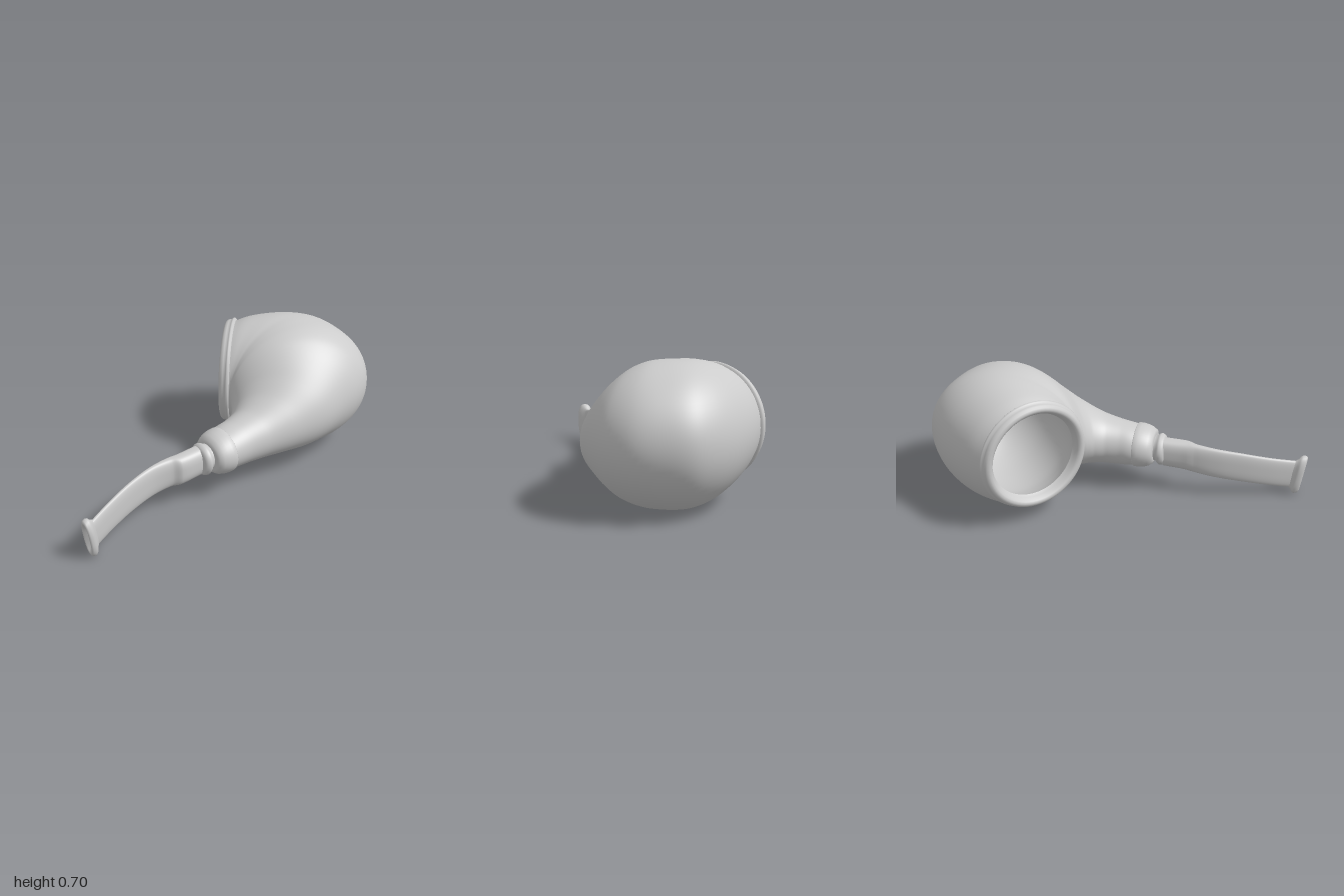
import * as THREE from 'three';

const material = new THREE.MeshStandardMaterial({ color: 0xcccccc, side: THREE.DoubleSide });

// Loft of ovals. Each section is [x, y, z, ry, hx, hz]: centre, half height and
// horizontal half axis; lean shifts the oval in x as it rises.
function loft(name, sections, { steps = 1, lean = 0, power = 1, sides = 48 } = {}) {
  const centres = new THREE.CatmullRomCurve3(sections.map(s => new THREE.Vector3(s[0], s[1], s[2])));
  const halves = new THREE.CatmullRomCurve3(sections.map(s => new THREE.Vector3(s[4], s[3], s[5])));
  const rings = (sections.length - 1) * steps;
  const positions = [], index = [];
  const bend = v => Math.sign(v) * Math.abs(v) ** power;
  for (let i = 0; i <= rings; i++) {
    const c = centres.getPoint(i / rings), h = halves.getPoint(i / rings);
    for (let j = 0; j < sides; j++) {
      const a = (j / sides) * Math.PI * 2;
      const up = bend(Math.cos(a)) * h.y, out = bend(Math.sin(a));
      positions.push(c.x + lean * up + out * h.x, c.y + up, c.z + out * h.z);
      if (i === rings) continue;
      const k = i * sides + j, n = i * sides + (j + 1) % sides;
      index.push(k, n, k + sides, n, n + sides, k + sides);
    }
  }
  const geometry = new THREE.BufferGeometry();
  geometry.setAttribute('position', new THREE.Float32BufferAttribute(positions, 3));
  geometry.setIndex(index);
  geometry.computeVertexNormals();
  const mesh = new THREE.Mesh(geometry, material);
  mesh.name = name;
  return mesh;
}

// Section from [x, y, z, ry, rz], tilted in plan
const tilted = tilt => ([x, y, z, ry, rz]) => [x, y, z, ry, -tilt * rz, rz];

// Section spanning two plan points: [innerX, innerZ, outerX, outerZ, y, ry]
const spanning = ([ax, az, bx, bz, y, ry]) =>
  [(ax + bx) / 2, y, (az + bz) / 2, ry, (bx - ax) / 2, (bz - az) / 2];

// Turned part around the mouth axis; points are [radius, height above the rim plane]
function turned(name, points) {
  const mesh = new THREE.Mesh(
    new THREE.LatheGeometry(points.map(p => new THREE.Vector2(p[0], p[1])), 72), material);
  mesh.name = name;
  return mesh;
}

export function createModel() {
  const model = new THREE.Group();
  model.name = 'tobaccoPipe';

  // Shank and bowl in one skin: sections fan around the crotch from ferrule to mouth
  model.add(loft('shankAndBowl', [
    [-0.085, -0.018, -0.13, 0.215, 0.235, 0.106],
    [-0.04, -0.016, -0.085, 0.227, 0.238, 0.114],
    [0.01, -0.006, -0.015, 0.246, 0.243, 0.122],
    [0.08, -0.004, 0.1, 0.292, 0.256, 0.136],
    [0.135, -0.022, 0.25, 0.362, 0.28, 0.168],
    [0.165, -0.045, 0.4, 0.415, 0.306, 0.21],
    [0.182, -0.064, 0.55, 0.434, 0.332, 0.255],
    [0.19, -0.076, 0.68, 0.434, 0.345, 0.292],
    [0.194, -0.082, 0.79, 0.408, 0.351, 0.32],
    [0.196, -0.085, 0.9, 0.325, 0.354, 0.342],
    [0.198, -0.087, 0.969, 0.19, 0.354, 0.351],
    [0.199, -0.089, 0.998, 0.064, 0.354, 0.352],
    [0.2, -0.09, 0.972, -0.05, 0.355, 0.349],
    [0.201, -0.092, 0.9, -0.181, 0.358, 0.336],
    [0.203, -0.094, 0.765, -0.332, 0.366, 0.307],
    [0.2, -0.1, 0.67, -0.405, 0.37, 0.28],
  ].map(spanning), { steps: 6, sides: 72 }));

  // Mouth of the bowl, facing back and to the right, and the hollow behind it
  const mouth = new THREE.Group();
  mouth.name = 'bowlMouth';
  mouth.position.set(0.415, 0.372, -0.285);
  mouth.quaternion.setFromUnitVectors(new THREE.Vector3(0, 1, 0), new THREE.Vector3(-0.54, 0, -0.84).normalize());
  mouth.add(turned('rimCollar', [
    [0.278, -0.044], [0.289, -0.04], [0.294, -0.032], [0.291, -0.023], [0.283, -0.018],
    [0.284, -0.008], [0.28, 0.004], [0.272, 0.012], [0.26, 0.016], [0.248, 0.012],
    [0.239, 0.002], [0.235, -0.014], [0.226, -0.03],
  ]));
  mouth.add(turned('chamber', new THREE.SplineCurve([
    [0.226, -0.03], [0.262, -0.1], [0.295, -0.2], [0.308, -0.34], [0.295, -0.48],
    [0.245, -0.6], [0.155, -0.69], [0.07, -0.726], [0, -0.735],
  ].map(p => new THREE.Vector2(...p))).getPoints(36).map(p => [p.x, p.y])));
  model.add(mouth);

  // Ferrule and the bead between shank and stem
  model.add(loft('ferrule', [
    [-0.19, 0.23, 0.085, 0, 0],
    [-0.19, 0.23, 0.085, 0.07, 0.085],
    [-0.185, 0.231, 0.086, 0.088, 0.103],
    [-0.165, 0.232, 0.09, 0.103, 0.116],
    [-0.14, 0.233, 0.094, 0.112, 0.124],
    [-0.115, 0.234, 0.099, 0.116, 0.128],
    [-0.092, 0.235, 0.103, 0.116, 0.128],
    [-0.085, 0.235, 0.104, 0.108, 0.12],
    [-0.085, 0.235, 0.104, 0, 0],
  ].map(tilted(0.23))));
  model.add(loft('bead', [
    [-0.245, 0.22, 0.067, 0, 0],
    [-0.245, 0.22, 0.067, 0.068, 0.066],
    [-0.235, 0.222, 0.069, 0.08, 0.078],
    [-0.22, 0.224, 0.073, 0.086, 0.084],
    [-0.208, 0.226, 0.075, 0.08, 0.078],
    [-0.198, 0.228, 0.077, 0.068, 0.066],
    [-0.185, 0.229, 0.08, 0.068, 0.066],
  ].map(tilted(0.23))));

  // Curved stem, flattening towards the lip, with a thicker block at the tenon
  model.add(loft('stem', [
    [-0.95, 0.115, 0.002, 0.08, 0.018],
    [-0.8, 0.142, -0.018, 0.081, 0.018],
    [-0.65, 0.17, -0.026, 0.083, 0.019],
    [-0.5, 0.193, -0.018, 0.083, 0.023],
    [-0.4, 0.206, 0.008, 0.081, 0.033],
    [-0.36, 0.21, 0.03, 0.08, 0.048],
    [-0.235, 0.218, 0.058, 0.077, 0.051],
  ].map(tilted(0.2)), { steps: 6, power: 0.75 }));

  // Flared lip with a draught hole at the end
  model.add(loft('mouthLip', [
    [-0.955, 0.115, 0.004, 0, 0],
    [-0.96, 0.115, 0.004, 0.07, 0.014],
    [-0.978, 0.115, 0.004, 0.084, 0.023],
    [-0.981, 0.115, 0.004, 0.098, 0.033],
    [-0.972, 0.115, 0.003, 0.108, 0.041],
    [-0.956, 0.115, 0.003, 0.112, 0.043],
    [-0.944, 0.116, 0.002, 0.106, 0.038],
    [-0.935, 0.117, 0.001, 0.092, 0.027],
    [-0.92, 0.12, -0.002, 0.08, 0.018],
  ].map(tilted(0.25)), { lean: -0.17, power: 0.8 }));

  return model;
}
